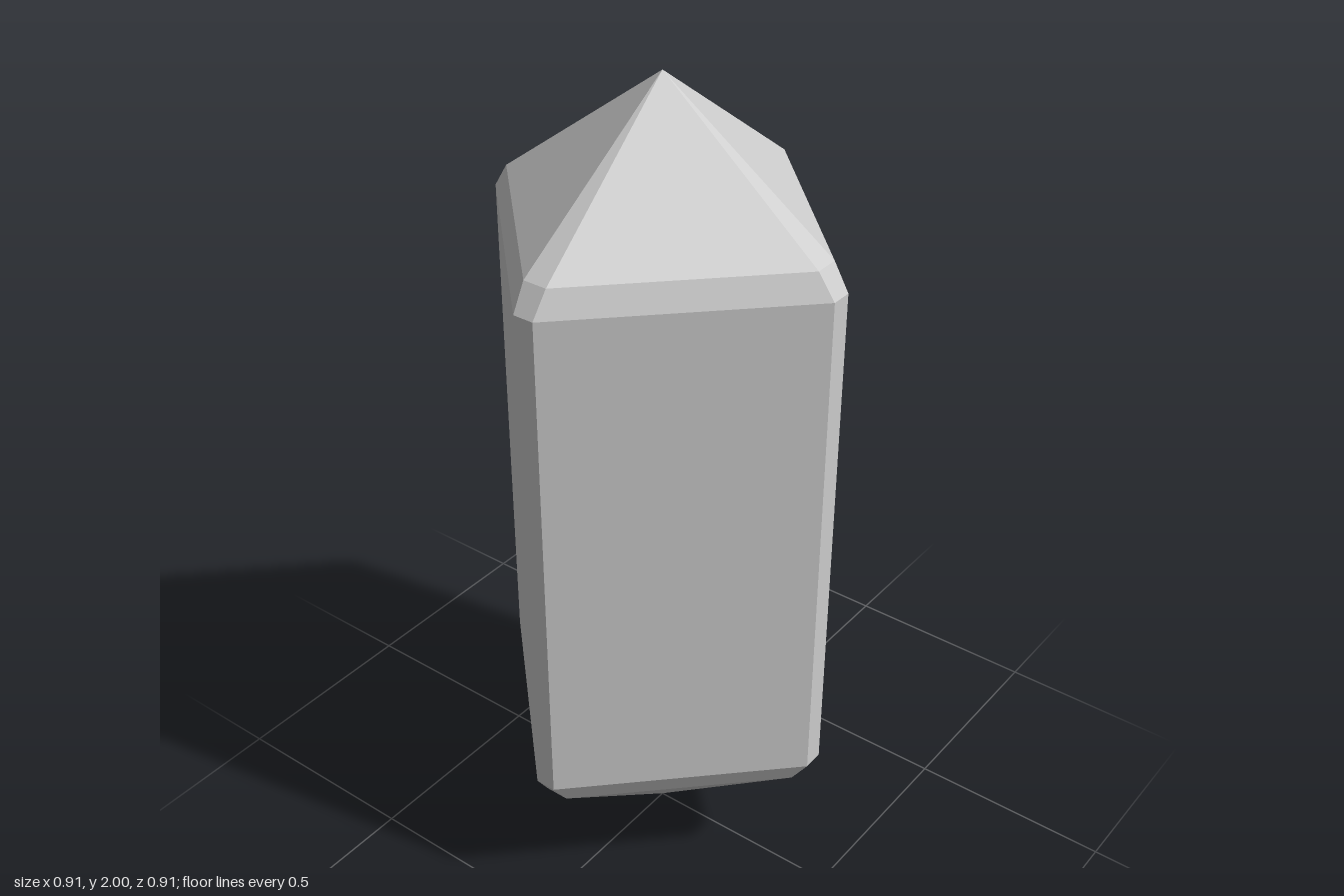
import * as THREE from 'three';

// Each ring: height, corner distance from the axis, half width of the cut corner
const rings = [
  { y: 0, r: 0, h: 0 },
  { y: 0.317, r: 0.414, h: 0.029 },
  { y: 0.373, r: 0.453, h: 0.025 },
  { y: 1.627, r: 0.453, h: 0.025 },
  { y: 1.687, r: 0.414, h: 0.029 },
  { y: 2, r: 0, h: 0 },
];
const names = ['bottomPoint', 'lowerBevel', 'shaft', 'upperBevel', 'topPoint'];

// Square with cut corners, counterclockwise seen from above
function ringPoints({ y, r, h }) {
  const points = [];
  for (let i = 0; i < 4; i++) {
    for (const side of [h, -h]) {
      points.push(new THREE.Vector3(r, y, side).applyAxisAngle(new THREE.Vector3(0, 1, 0), i * Math.PI / 2));
    }
  }
  return points;
}

// Flat faces between two rings; a ring of zero radius closes to a tip
function band(lower, upper) {
  const a = ringPoints(lower), b = ringPoints(upper), corners = [];
  for (let i = 0; i < 8; i++) {
    const j = (i + 1) % 8;
    if (lower.r > 0) corners.push(a[i], a[j], b[j]);
    if (upper.r > 0) corners.push(a[i], b[j], b[i]);
  }
  const geometry = new THREE.BufferGeometry().setFromPoints(corners);
  geometry.computeVertexNormals();
  return geometry;
}

export function createModel() {
  const crystal = new THREE.Group();
  crystal.name = 'crystal';
  const material = new THREE.MeshStandardMaterial({ color: 0xcccccc, flatShading: true });
  names.forEach((name, i) => {
    const mesh = new THREE.Mesh(band(rings[i], rings[i + 1]), material);
    mesh.name = name;
    crystal.add(mesh);
  });
  return crystal;
}
